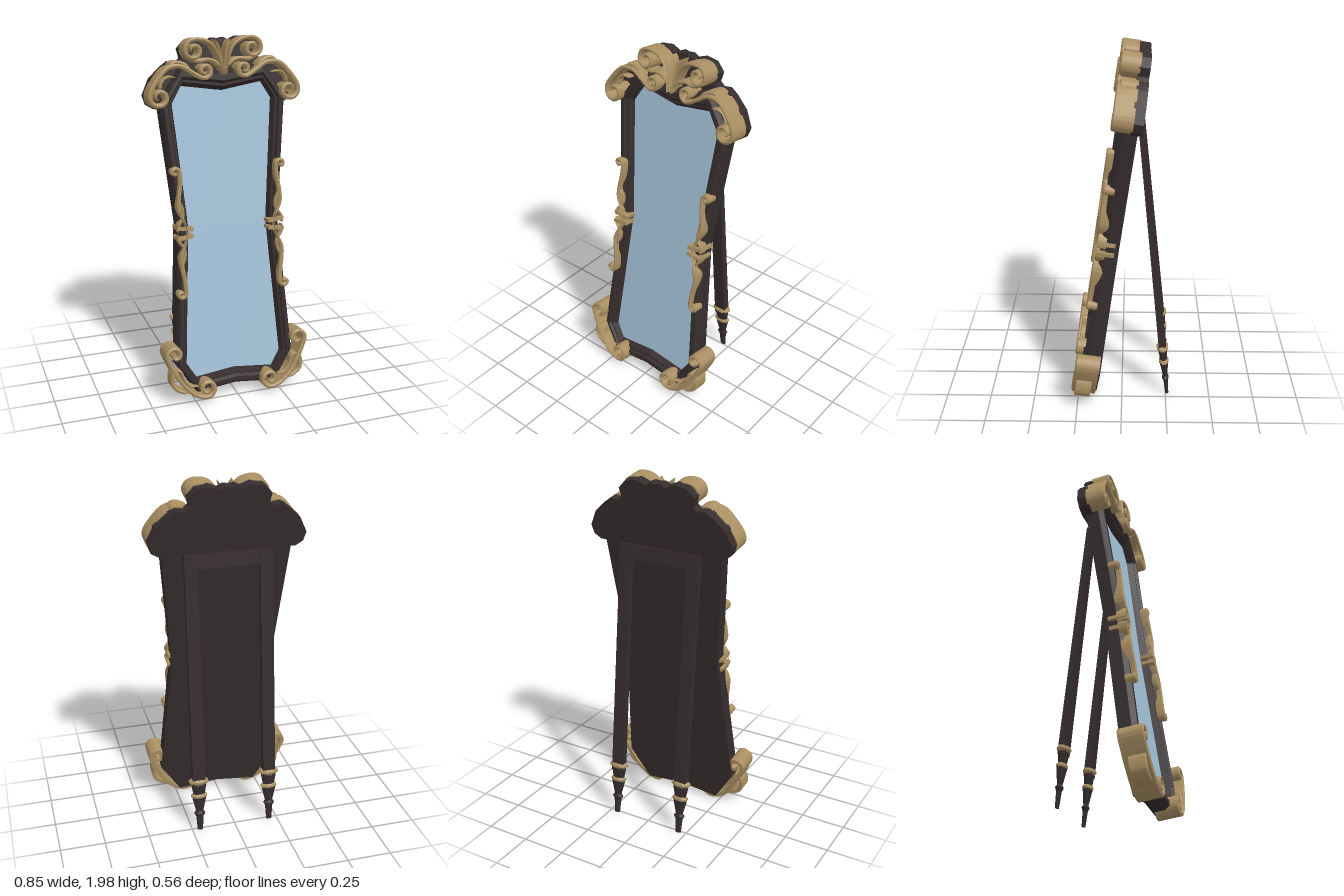
import * as THREE from 'three';

const dark = new THREE.MeshStandardMaterial({ color: 0x352c2d });
const gold = new THREE.MeshStandardMaterial({ color: 0xa98f62 });
const glass = new THREE.MeshStandardMaterial({ color: 0xa3c2d8 });
dark.name = 'dark wood';
gold.name = 'old gold';
glass.name = 'mirror blue';

function add(parent, name, geometry, material, x = 0, y = 0, z = 0) {
  const mesh = new THREE.Mesh(geometry, material);
  mesh.name = name;
  mesh.position.set(x, y, z);
  parent.add(mesh);
  return mesh;
}

// Flat-shaded skin between successive closed rings of [x, y, z] points
function loft(rings) {
  const out = [];
  for (let r = 0; r < rings.length - 1; r++) {
    const n = rings[r].length;
    for (let i = 0; i < n; i++) {
      const j = (i + 1) % n;
      const [a, b, c, d] = [rings[r][i], rings[r][j], rings[r + 1][j], rings[r + 1][i]];
      out.push(...a, ...b, ...c, ...a, ...c, ...d);
    }
  }
  const g = new THREE.BufferGeometry();
  g.setAttribute('position', new THREE.Float32BufferAttribute(out, 3));
  g.computeVertexNormals();
  return g;
}

// Mirror a half outline (top to bottom, x >= 0) into a counter-clockwise loop
function fullOutline(half) {
  const left = half.filter(([x]) => x > 0).map(([x, y]) => [-x, y]);
  const right = half.slice().reverse();
  if (right[0][0] > 0) return [...right, ...left];
  return [...right, ...left];
}
const toShape = (pts) => new THREE.Shape(pts.map(([x, y]) => new THREE.Vector2(x, y)));

// Spiral points from the rim inwards; angle in degrees, dir +1 counter-clockwise
function volute(cx, cy, r, angle, dir, turns = 1.3) {
  const n = Math.round(turns * 9);
  return Array.from({ length: n + 1 }, (_, i) => {
    const a = angle * Math.PI / 180 + dir * turns * 2 * Math.PI * i / n;
    const rr = r * (1 - 0.75 * i / n);
    return [cx + rr * Math.cos(a), cy + rr * Math.sin(a)];
  });
}

// Deep carved ribbon with a ridged front, tapered at both ends
function ribbon(path, width, z0, z1) {
  const curve = new THREE.CatmullRomCurve3(path.map(([x, y]) => new THREE.Vector3(x, y, 0)), false, 'centripetal');
  const n = path.length * 3;
  const rings = [];
  for (let i = 0; i <= n; i++) {
    const p = curve.getPoint(i / n), t = curve.getTangent(i / n);
    const w = width / 2 * Math.min(1, 0.05 + 6 * Math.min(i, n - i) / n);
    const at = (s, z) => [p.x - t.y * w * s, p.y + t.x * w * s, z];
    rings.push([at(1, z0), at(1, z1 - 0.007), at(0, z1), at(-1, z1 - 0.007), at(-1, z0)]);
  }
  return loft(rings);
}

function mirroredRibbon(parent, name, path, width, z0, z1) {
  for (const s of [1, -1]) {
    add(parent, name, ribbon(path.map(([x, y]) => [x * s, y]), width, z0, z1), gold);
  }
}

function buildMirror() {
  const mirror = new THREE.Group();
  mirror.name = 'leaningMirror';

  // Waisted frame moulding and glass
  const outer = fullOutline([[0, 1.81], [0.23, 1.84], [0.355, 1.66], [0.29, 0.97], [0.345, 0.21], [0.23, 0.03], [0, 0.055]]);
  const inner = fullOutline([[0, 1.705], [0.225, 1.74], [0.28, 1.65], [0.225, 0.97], [0.277, 0.2], [0.225, 0.115], [0, 0.14]]);
  const profile = [[0, 0], [0, 0.07], [0.2, 0.098], [0.5, 0.1], [0.65, 0.085], [0.78, 0.085], [1, 0.048]];
  add(mirror, 'frame', loft(profile.map(([t, z]) => outer.map(([x, y], i) =>
    [x + (inner[i][0] - x) * t, y + (inner[i][1] - y) * t, z]))), dark);
  add(mirror, 'backPanel', new THREE.ShapeGeometry(toShape(outer)).rotateY(Math.PI), dark);
  add(mirror, 'glass', new THREE.ShapeGeometry(toShape(inner)), glass, 0, 0, 0.05);

  // Crown board behind the top scrolls
  const crown = fullOutline([[0, 1.98], [0.03, 1.985], [0.06, 1.97], [0.11, 1.99], [0.18, 1.98], [0.222, 1.935],
    [0.21, 1.885], [0.235, 1.865], [0.28, 1.872], [0.32, 1.845], [0.385, 1.785], [0.425, 1.7], [0.41, 1.65], [0.37, 1.625], [0, 1.625]]);
  add(mirror, 'crownBoard', new THREE.ExtrudeGeometry(toShape(crown), { depth: 0.06, bevelEnabled: false }), dark, 0, 0, -0.02);

  // Crown scrolls
  mirroredRibbon(mirror, 'crestScroll',
    [[0.012, 1.79], [0.025, 1.87], [0.06, 1.945], [0.11, 1.975], ...volute(0.163, 1.923, 0.055, 80, -1)], 0.02, 0.03, 0.135);
  mirroredRibbon(mirror, 'shoulderScroll',
    [...volute(0.11, 1.815, 0.04, -60, -1).reverse(), [0.18, 1.81], [0.24, 1.845], [0.31, 1.84], [0.375, 1.775],
      ...volute(0.363, 1.69, 0.055, 25, -1)], 0.022, 0.03, 0.14);
  mirroredRibbon(mirror, 'shoulderLeaf',
    [[0.18, 1.82], [0.225, 1.855], [0.27, 1.866], [0.29, 1.85], [0.28, 1.83]], 0.022, 0.03, 0.125);
  mirroredRibbon(mirror, 'crestLeaf',
    [[0.01, 1.82], [0.05, 1.86], [0.09, 1.872], [0.14, 1.866], [0.2, 1.885]], 0.02, 0.03, 0.125);
  mirroredRibbon(mirror, 'crestBud', [[0.004, 1.79], [0.012, 1.86], [0.022, 1.93], [0.04, 1.975]], 0.012, 0.03, 0.12);
  mirroredRibbon(mirror, 'shoulderVein', [[0.27, 1.79], [0.32, 1.79], [0.35, 1.76], [0.355, 1.72]], 0.014, 0.08, 0.125);

  // Bottom corner scrolls
  mirroredRibbon(mirror, 'footScroll',
    [...volute(0.362, 0.285, 0.045, 0, 1, 1.1).reverse(), [0.385, 0.22], [0.35, 0.15], [0.31, 0.09], [0.25, 0.035],
      ...volute(0.188, 0.068, 0.05, -90, -1)], 0.022, 0.01, 0.145);
  mirroredRibbon(mirror, 'footLeaf',
    [[0.365, 0.2], [0.38, 0.15], [0.375, 0.1], [0.34, 0.07], [0.29, 0.05]], 0.02, 0.04, 0.13);
  mirroredRibbon(mirror, 'footTwig',
    [[0.36, 0.19], [0.33, 0.18], [0.315, 0.13], [0.28, 0.09], [0.235, 0.085]], 0.014, 0.06, 0.13);

  // Waist scrolls, running up and down from a pair of bands
  const waistMain = [[0.25, 0.965], [0.262, 1.02], [0.29, 1.09], [0.288, 1.16], [0.277, 1.23], ...volute(0.3, 1.3, 0.024, 180, -1, 1)];
  const waistTwig = [[0.3, 0.97], [0.295, 1.01], [0.27, 1.05], [0.27, 1.1], [0.285, 1.15]];
  for (const up of [1, -1]) {
    const flip = ([x, y]) => [x, 0.955 + (y - 0.965) * up];
    mirroredRibbon(mirror, 'waistScroll', waistMain.map(flip), 0.02, 0.07, 0.13);
    mirroredRibbon(mirror, 'waistTwig', waistTwig.map(flip), 0.015, 0.07, 0.122);
    for (const s of [1, -1]) {
      const band = add(mirror, 'waistBand', new THREE.BoxGeometry(0.09, 0.02, 0.1), gold, 0.262 * s, 0.955 + 0.024 * up, 0.072);
      band.rotation.z = 0.12 * up * s;
    }
  }

  mirror.rotation.x = -0.142;
  mirror.position.z = 0.15;
  return mirror;
}

// Turned piece with eight flat sides, flattened front to back
function turned(points) {
  const g = new THREE.LatheGeometry(points.map(([r, y]) => new THREE.Vector2(r, y)), 8);
  return g.rotateY(Math.PI / 8).scale(1, 1, 0.6).toNonIndexed();
}

function buildStand() {
  const stand = new THREE.Group();
  stand.name = 'backStand';
  for (const s of [1, -1]) {
    const x = 0.205 * s;
    // Tapered leg, slightly thicker towards the foot
    const leg = new THREE.BoxGeometry(0.07, 1.33, 0.042);
    const p = leg.attributes.position;
    for (let i = 0; i < p.count; i++) if (p.getY(i) > 0) p.setZ(i, p.getZ(i) * 0.7);
    add(stand, 'leg', leg, dark, x, -0.665, 0);
    const foot = turned([[0, -1.605], [0.016, -1.605], [0.022, -1.52], [0.034, -1.5], [0.022, -1.485],
      [0.042, -1.4], [0.034, -1.38], [0.045, -1.32], [0, -1.3]]);
    foot.computeVertexNormals();
    add(stand, 'foot', foot, dark, x);
    for (const [y, r] of [[-1.3, 0.058], [-1.39, 0.048]]) {
      const collar = turned([[0, y - 0.014], [r - 0.012, y - 0.014], [r, y - 0.004], [r, y + 0.006], [r - 0.01, y + 0.014], [0, y + 0.014]]);
      collar.computeVertexNormals();
      add(stand, 'collar', collar, gold, x);
    }
  }
  add(stand, 'crossbar', new THREE.BoxGeometry(0.36, 0.08, 0.026), dark, 0, -0.04, 0);
  stand.position.set(0, 1.605, -0.1);
  stand.rotation.x = 0.1;
  return stand;
}

export function createModel() {
  const model = new THREE.Group();
  model.name = 'standingMirror';
  model.add(buildMirror(), buildStand());
  return model;
}
